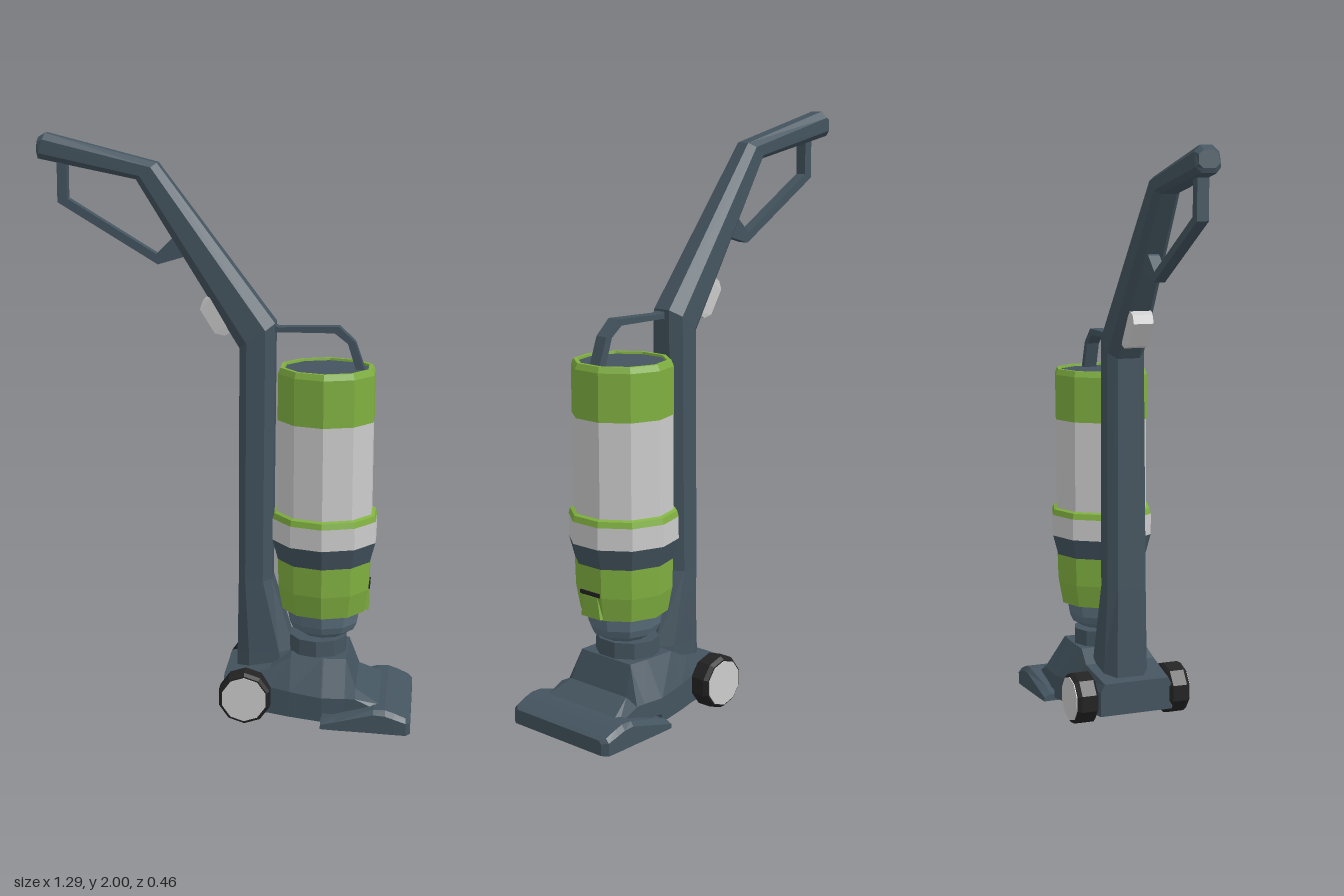
import * as THREE from 'three';

const mat = (color) => new THREE.MeshStandardMaterial({ color, flatShading: true });
const slate = mat(0x44545f), green = mat(0x80b040), grey = mat(0xcccccc);
const black = mat(0x222222), blueGrey = mat(0x5d7280);
const V = (x, y, z) => new THREE.Vector3(x, y, z);

// Skin a row of equal-length rings, cap both ends and turn the faces outward
function loft(rings) {
  const n = rings[0].length, tris = [];
  for (let i = 0; i < rings.length - 1; i++) {
    for (let j = 0; j < n; j++) {
      const k = (j + 1) % n, a = rings[i], b = rings[i + 1];
      tris.push([a[j], a[k], b[k]], [a[j], b[k], b[j]]);
    }
  }
  const first = rings[0], last = rings[rings.length - 1];
  for (let j = 1; j < n - 1; j++) {
    tris.push([first[0], first[j + 1], first[j]], [last[0], last[j], last[j + 1]]);
  }
  const volume = tris.reduce((s, [a, b, c]) => s + a.dot(b.clone().cross(c)), 0);
  const points = tris.flatMap(([a, b, c]) => (volume < 0 ? [a, c, b] : [a, b, c]));
  const geo = new THREE.BufferGeometry().setFromPoints(points);
  geo.computeVertexNormals();
  return geo;
}

// Flat bracket: an outline in x,y given thickness along z
function bracket(outline, depth, z) {
  const shape = new THREE.Shape(outline.map(([x, y]) => new THREE.Vector2(x, y)));
  return new THREE.ExtrudeGeometry(shape, { depth, bevelEnabled: false }).translate(0, 0, z - depth / 2);
}

export function createModel() {
  const model = new THREE.Group();
  const add = (name, geo, material, parent = model) => {
    const mesh = new THREE.Mesh(geo, material);
    mesh.name = name;
    parent.add(mesh);
    return mesh;
  };

  // Post and handle: back point, front point, half width, z centre
  const post = [
    [.035, .12, .25, .12, .085, -.01],
    [.037, .22, .235, .23, .08, -.01],
    [.04, .48, .155, .48, .072, -.012],
    [.04, 1.29, .16, 1.375, .067, -.014],
    [-.31, 1.85, -.24, 1.905, .046, -.017],
    [-.645, 1.915, -.62, 2.0, .042, -.03],
    [-.65, 1.93, -.645, 1.985, .034, -.031],
  ];
  add('handlePost', loft(post.map(([ax, ay, bx, by, w, zc]) =>
    [[0, .6], [.22, 1], [.75, 1], [1, .5], [1, -.5], [.75, -1], [.22, -1], [0, -.6]].map(([t, s]) =>
      V(ax + (bx - ax) * t, ay + (by - ay) * t, zc + s * w)))), slate);

  // Cord guard under the grip
  add('gripGuard', bracket([
    [-.58, 1.92], [-.58, 1.77], [-.24, 1.565], [-.14, 1.595], [-.17, 1.665], [-.195, 1.65],
    [-.245, 1.6], [-.547, 1.783], [-.547, 1.92],
  ], .04, -.02), slate);

  // Switch on the back of the post
  const power = add('powerSwitch', loft([[-.07, .02], [-.045, .045], [.05, .045], [.07, .02]].map(([l, h]) =>
    [V(-.03, l, .042), V(h, l, .036), V(h, l, -.036), V(-.03, l, -.042)])), grey);
  power.rotation.set(0, Math.PI, 0);
  power.position.set(-.03, 1.4, -.014);
  power.rotation.z = -.56;
  power.rotation.order = 'ZYX';
  power.rotation.z = .56;

  // Ten-sided canister built from coloured bands, listed bottom to top
  const canister = new THREE.Group();
  canister.name = 'canister';
  canister.position.set(.335, 0, -.003);
  model.add(canister);
  const bands = [
    ['canisterDome', blueGrey, [[0, .285], [.075, .288], [.11, .31], [.122, .335], [.132, .39]]],
    ['lowerShell', green, [[.12, .38], [.148, .38], [.163, .46], [.166, .565]]],
    ['darkBelt', slate, [[.166, .56], [.185, .63]]],
    ['greyBelt', grey, [[.185, .63], [.185, .705]]],
    ['beltTrim', green, [[.185, .705], [.18, .725], [.168, .73]]],
    ['dustBin', grey, [[.168, .725], [.168, 1.05]]],
    ['topBand', green, [[.17, 1.05], [.17, 1.21], [.162, 1.23], [.148, 1.23], [.146, 1.215]]],
    ['canisterLid', slate, [[.15, 1.222], [0, 1.222]]],
  ];
  for (const [name, material, pts] of bands) {
    add(name, new THREE.LatheGeometry(pts.map(([r, y]) => new THREE.Vector2(r, y)), 10), material, canister);
  }

  // Release catch on the front of the lower shell
  add('catchSlot', new THREE.BoxGeometry(.03, .014, .09).translate(.144, .468, 0), black, canister);
  add('releaseCatch', loft([[.385, .045], [.458, .032]].map(([y, w]) =>
    [V(.1, y, w), V(.156, y, w), V(.156, y, -w), V(.1, y, -w)])), green, canister);

  // Carrying handle from the post to the lid
  add('carryHandle', bracket([
    [.13, 1.335], [.17, 1.345], [.36, 1.345], [.405, 1.31], [.435, 1.215],
    [.465, 1.215], [.43, 1.315], [.375, 1.367], [.17, 1.362], [.13, 1.385],
  ], .045, -.005), slate);

  // Collar under the canister
  add('collar', new THREE.CylinderGeometry(.112, .115, .09, 10).scale(.9, 1, 1).translate(.317, .24, 0), slate);

  // Chassis: x, bottom, shoulder and top heights, shoulder and top half widths
  const chassis = [
    [0, .045, .13, .16, .135, .12],
    [.16, .035, .13, .19, .15, .13],
    [.23, .03, .12, .23, .165, .12],
    [.34, .025, .11, .23, .185, .12],
    [.345, .055, .11, .23, .185, .12],
    [.42, .055, .11, .23, .18, .115],
    [.455, .055, .11, .13, .18, .13],
    [.54, .055, .07, .088, .18, .16],
  ];
  add('chassis', loft(chassis.map(([x, yb, ym, yt, wb, wt]) =>
    [V(x, yb, wb), V(x, ym, wb), V(x, yt, wt), V(x, yt, -wt), V(x, ym, -wb), V(x, yb, -wb)])), slate);

  // Floor nozzle with a recess below: x, bottom, side and top heights, half widths, recess depth
  const nozzle = [
    [.34, .015, .03, .04, .225, .2, 0],
    [.39, .013, .042, .056, .226, .2, 0],
    [.39, .013, .042, .056, .226, .2, .035],
    [.52, .01, .075, .09, .228, .215, .035],
    [.56, .008, .072, .09, .228, .215, .035],
    [.59, .007, .062, .08, .228, .215, .035],
    [.59, .007, .062, .08, .228, .215, 0],
    [.63, .005, .048, .063, .226, .213, 0],
    [.645, .005, .045, .055, .205, .195, 0],
  ];
  const r = .175;
  add('floorNozzle', loft(nozzle.map(([x, yb, ym, yt, wb, wt, h]) => [
    V(x, yb, wb), V(x, ym, wb), V(x, yt, wt), V(x, yt, -wt), V(x, ym, -wb), V(x, yb, -wb),
    V(x, yb, -r), V(x, yb + h, -r), V(x, yb + h, r), V(x, yb, r),
  ])), slate);
  add('nozzleOpening', new THREE.BoxGeometry(.198, .008, .348).translate(.49, .042, 0), black);

  // Rear wheels: chamfered tyre with a pale hub on the outer side
  for (const side of [1, -1]) {
    const wheel = new THREE.Group();
    wheel.name = side > 0 ? 'leftWheel' : 'rightWheel';
    wheel.position.set(.077, .1, -.01 + side * .175);
    wheel.rotation.x = side * Math.PI / 2;
    model.add(wheel);
    const tyre = [[0, -.04], [.082, -.04], [.092, -.03], [.092, .022], [.083, .036], [0, .036]];
    add('tyre', new THREE.LatheGeometry(tyre.map(([x, y]) => new THREE.Vector2(x, y)), 10), black, wheel);
    add('hub', new THREE.CylinderGeometry(.078, .078, .01, 10).translate(0, .034, 0), grey, wheel);
  }
  return model;
}
